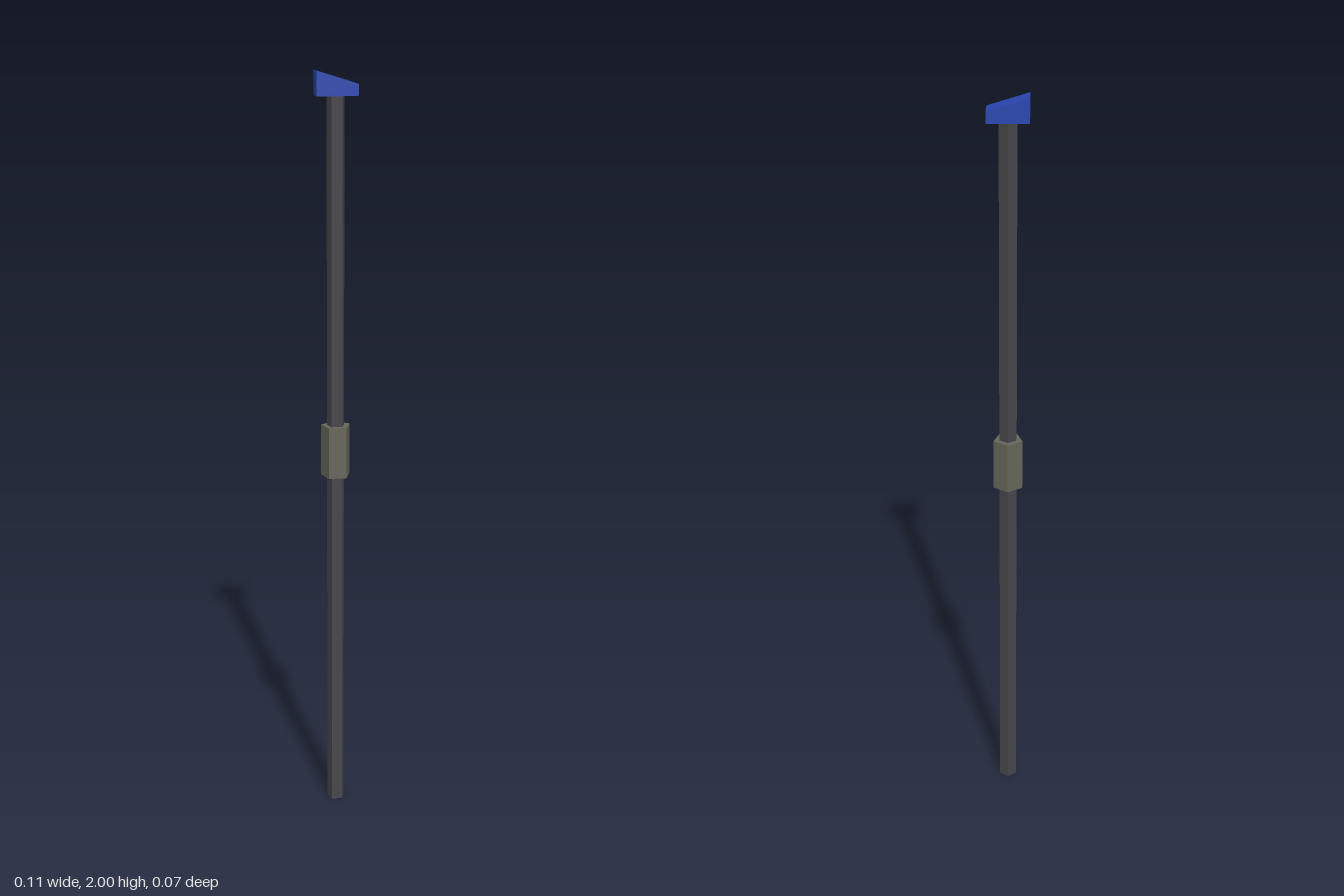
import * as THREE from 'three';

const AXIS_Z = 0.0036;

function material(color) {
  return new THREE.MeshStandardMaterial({ color, flatShading: true });
}

// Five-sided upright bar with a flat face to the front and an edge to the back
function pentagonBar(name, radius, bottom, top, color) {
  const geometry = new THREE.CylinderGeometry(radius, radius, top - bottom, 5);
  geometry.rotateY(Math.PI);
  const mesh = new THREE.Mesh(geometry, material(color));
  mesh.name = name;
  mesh.position.set(0, (bottom + top) / 2, AXIS_Z);
  return mesh;
}

export function createModel() {
  const model = new THREE.Group();
  model.name = 'staff';

  // Long shaft and the thicker grip around its middle
  model.add(pentagonBar('shaft', 0.024, 0, 1.945, 0x47464b));
  model.add(pentagonBar('grip', 0.04, 0.945, 1.083, 0x66665a));

  // Wedge head, its top sloping down towards +x
  const profile = new THREE.Shape([
    new THREE.Vector2(-0.053, 1.938),
    new THREE.Vector2(0.053, 1.938),
    new THREE.Vector2(0.053, 1.967),
    new THREE.Vector2(-0.053, 2),
  ]);
  const depth = 0.059;
  const wedge = new THREE.ExtrudeGeometry(profile, { depth, bevelEnabled: false });
  wedge.translate(0, 0, AXIS_Z - 0.0008 - depth / 2);
  const head = new THREE.Mesh(wedge, material(0x2846b0));
  head.name = 'head';
  model.add(head);

  return model;
}
